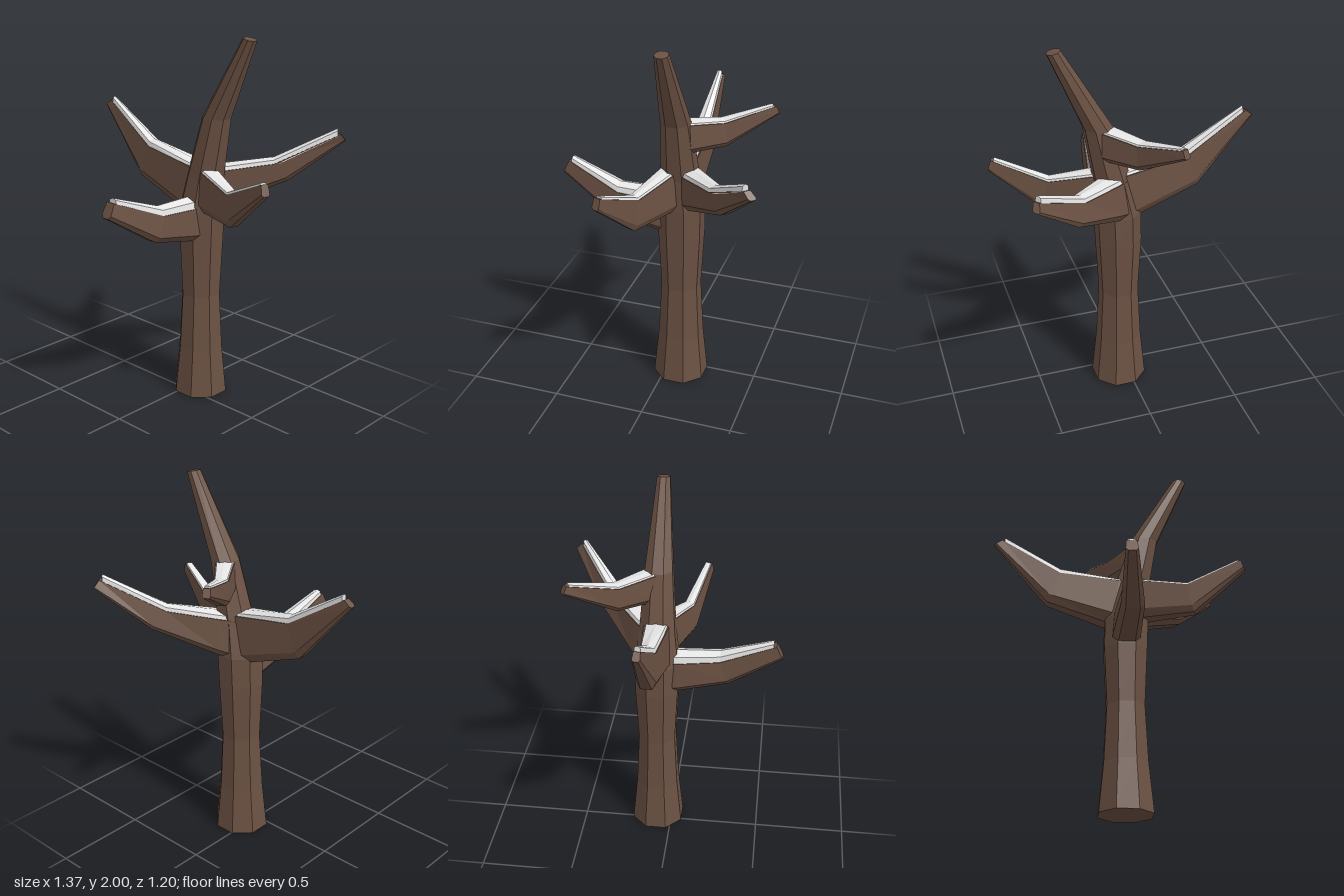
import * as THREE from 'three';

const bark = new THREE.MeshStandardMaterial({ color: 0x6b5143 });
bark.name = 'bark brown';
const snow = new THREE.MeshStandardMaterial({ color: 0xe6e6e6 });
snow.name = 'snow white';

// Faceted solid through a row of equal-sized rings, closed at both ends
function loft(rings) {
  const out = [];
  const n = rings[0].length;
  const tri = (a, b, c) => out.push(...a, ...b, ...c);
  for (let i = 0; i < rings.length - 1; i++) {
    const a = rings[i], b = rings[i + 1];
    for (let k = 0; k < n; k++) {
      const m = (k + 1) % n;
      tri(a[k], a[m], b[m]);
      tri(a[k], b[m], b[k]);
    }
  }
  const first = rings[0], last = rings[rings.length - 1];
  for (let k = 1; k < n - 1; k++) {
    tri(first[0], first[k + 1], first[k]);
    tri(last[0], last[k], last[k + 1]);
  }
  const g = new THREE.BufferGeometry();
  g.setAttribute('position', new THREE.Float32BufferAttribute(out, 3));
  g.computeVertexNormals();
  return g;
}

function addMesh(parent, name, geometry, material) {
  const mesh = new THREE.Mesh(geometry, material);
  mesh.name = name;
  parent.add(mesh);
}

// Octagonal ring with flat sides facing the axes; tilt drops its +x side
function trunkRing([x, y, r, tilt = 0]) {
  const R = r / Math.cos(Math.PI / 8);
  return Array.from({ length: 8 }, (_, k) => {
    const a = (k + 0.5) * Math.PI / 4;
    return [x + R * Math.cos(a), y - tilt * Math.cos(a), -0.08 - R * Math.sin(a)];
  });
}

// Branch stations: [x, z, topY, bottomY, slant, width, snowDepth]
// slant pushes the underside outward along the branch
function addBranch(parent, name, stations, lean = 0) {
  const group = new THREE.Group();
  group.name = name;
  const a = stations[0], e = stations[stations.length - 1];
  const len = Math.hypot(e[0] - a[0], e[1] - a[1]);
  const dx = (e[0] - a[0]) / len, dz = (e[1] - a[1]) / len;
  const place = (s, side, y, along) =>
    [s[0] + dz * side + dx * along, y, s[1] - dx * side + dz * along];

  // wood: flat top, steep sides, chamfered underside
  const wood = stations.map((s) => {
    const [, , top, bottom, slant, w] = s;
    return [[-0.3, 0], [0.3, 0], [0.5, 0.2], [0.42, 1], [-0.42, 1], [-0.5, 0.2]].map(([u, v]) =>
      place(s, u * w - lean * (1 - v), bottom + (top - bottom) * v, slant * (1 - v)));
  });
  addMesh(group, 'branchWood', loft(wood), bark);

  // snow: ridged strip on the top face, stopping just short of the tip
  const strip = stations.map((s, i) => {
    const [, , top, , , w, depth] = s;
    const back = i === stations.length - 1 ? -0.015 : 0;
    return [[-0.41, -0.012], [0.41, -0.012], [0.34, depth * 0.65], [0, depth], [-0.34, depth * 0.65]]
      .map(([u, h]) => place(s, u * w, top + h, back));
  });
  addMesh(group, 'branchSnow', loft(strip), snow);
  parent.add(group);
}

export function createModel() {
  const tree = new THREE.Group();
  tree.name = 'snowyBareTree';

  // Trunk: [centre x, y, radius, tilt]
  const trunk = [
    [0.05, 0, 0.14], [0.05, 0.27, 0.115], [0.05, 0.58, 0.1], [0.05, 0.9, 0.115],
    [0.055, 1.07, 0.117], [0.08, 1.25, 0.095], [0.155, 1.57, 0.073], [0.37, 1.992, 0.034, 0.008],
  ];
  addMesh(tree, 'trunk', loft(trunk.map(trunkRing)), bark);

  addBranch(tree, 'rightBranch', [
    [0.06, -0.08, 1.29, 1.03, 0, 0.16, 0.02],
    [0.01, -0.08, 1.3, 1.04, 0.03, 0.155, 0.02],
    [-0.31, -0.08, 1.345, 1.17, 0.07, 0.1, 0.04],
    [-0.64, -0.083, 1.555, 1.525, 0.042, 0.04, 0.022],
  ]);
  addBranch(tree, 'frontBranch', [
    [0.05, -0.08, 1.09, 0.9, 0, 0.15, 0.05],
    [0.05, 0.03, 1.09, 0.91, 0, 0.15, 0.055],
    [0.06, 0.26, 1.105, 0.97, 0.05, 0.125, 0.045],
    [0.032, 0.555, 1.225, 1.15, 0.035, 0.066, 0.02],
  ]);
  addBranch(tree, 'leftFrontBranch', [
    [0.06, -0.08, 1.31, 1.06, 0, 0.14, 0.015],
    [0.16, -0.03, 1.285, 1.07, 0, 0.12, 0.018],
    [0.385, 0.06, 1.235, 1.07, 0.03, 0.075, 0.018],
    [0.665, 0.143, 1.358, 1.3, 0.018, 0.045, 0.006],
  ]);
  addBranch(tree, 'leftBackBranch', [
    [0.07, -0.1, 1.27, 1.05, 0, 0.17, 0.03],
    [0.13, -0.16, 1.28, 1.08, 0, 0.15, 0.03],
    [0.33, -0.34, 1.315, 1.22, 0.08, 0.095, 0.03],
    [0.592, -0.562, 1.475, 1.435, 0.03, 0.042, 0.028],
  ], -0.02);
  addBranch(tree, 'upperBackBranch', [
    [0.14, -0.08, 1.565, 1.4, 0, 0.12, 0.012],
    [0.11, -0.13, 1.56, 1.405, 0, 0.12, 0.012],
    [-0.01, -0.28, 1.54, 1.41, 0.01, 0.09, 0.014],
    [-0.145, -0.515, 1.603, 1.56, 0.02, 0.042, 0.008],
  ]);
  return tree;
}
